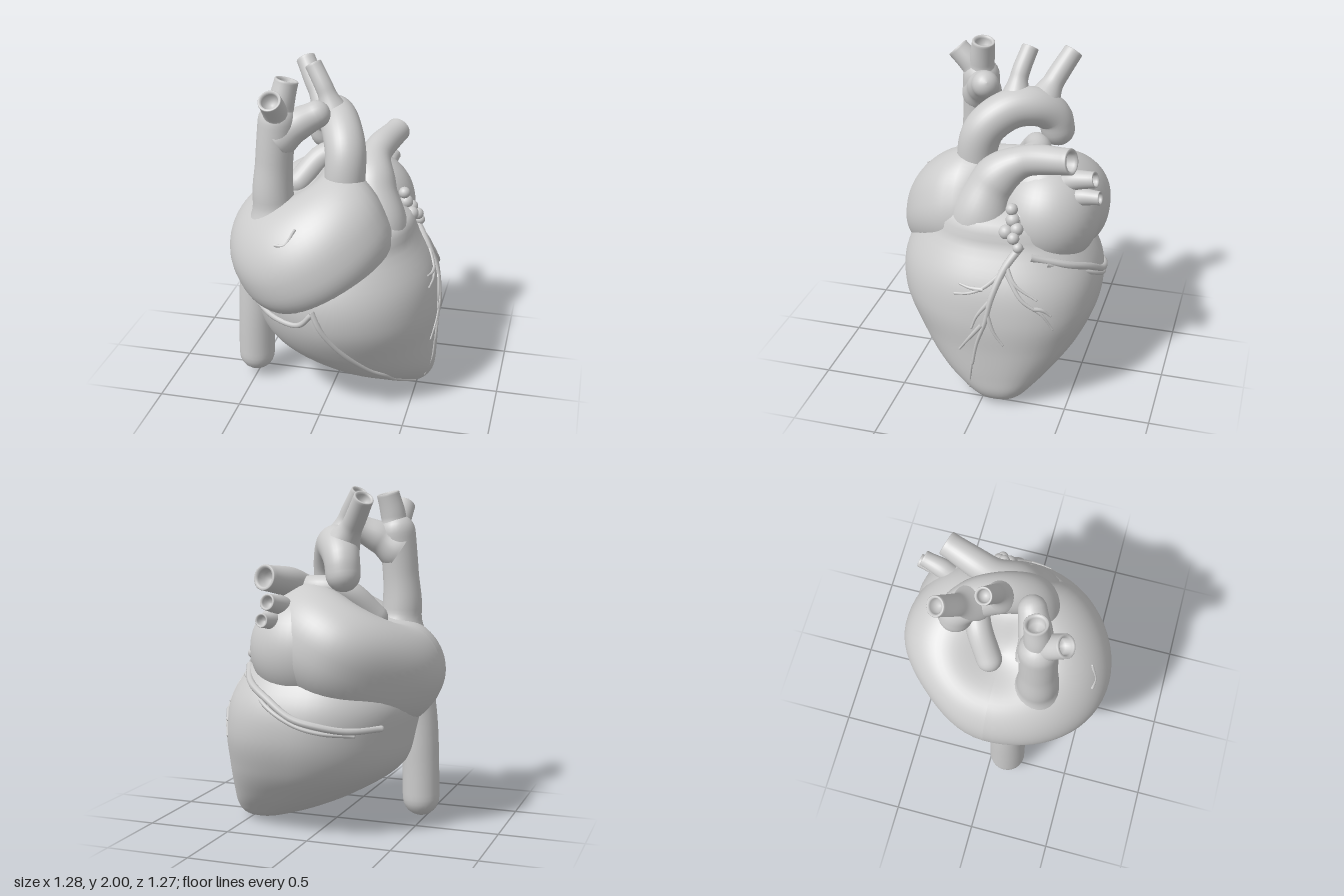
import * as THREE from 'three';

const mat = new THREE.MeshStandardMaterial({ color: 0xcccccc, roughness: 0.6 });
const V = (p) => new THREE.Vector3(...p);

// Smooth skin over a list of closed rings
function skin(rings) {
  const n = rings[0].length, idx = [];
  for (let i = 0; i < rings.length - 1; i++)
    for (let j = 0; j < n; j++) {
      const k = (j + 1) % n, a = i * n + j, b = i * n + k, c = a + n, d = b + n;
      idx.push(a, c, b, b, c, d);
    }
  const g = new THREE.BufferGeometry().setFromPoints(rings.flat());
  g.setIndex(idx);
  g.computeVertexNormals();
  return g;
}

// Tapered tube along a spline; end is 'open' (hollow mouth) or 'round'
function vessel(points, radii, end = 'open', sides = 24, steps = 28) {
  const curve = new THREE.CatmullRomCurve3(points.map(V));
  const { normals, binormals, tangents } = curve.computeFrenetFrames(steps, false);
  const ring = (i, r, push = 0) => Array.from({ length: sides }, (_, j) => {
    const a = j / sides * Math.PI * 2;
    return curve.getPointAt(i / steps).addScaledVector(tangents[i], push)
      .addScaledVector(normals[i], Math.cos(a) * r).addScaledVector(binormals[i], -Math.sin(a) * r);
  });
  const rings = [];
  for (let i = 0; i <= steps; i++) {
    const f = i / steps * (radii.length - 1), k = Math.min(Math.floor(f), radii.length - 2);
    rings.push(ring(i, THREE.MathUtils.lerp(radii[k], radii[k + 1], THREE.MathUtils.smoothstep(f - k, 0, 1))));
  }
  const r = radii[radii.length - 1];
  if (end === 'open') {
    for (const [s, p] of [[0.94, 0.06], [0.78, 0.04], [0.7, -0.15], [0.66, -0.8], [0.001, -0.9]])
      rings.push(ring(steps, r * s, r * p));
  } else {
    for (let k = 1; k <= 6; k++) {
      const a = k / 6 * Math.PI / 2;
      rings.push(ring(steps, r * Math.cos(a) + 1e-4, r * Math.sin(a)));
    }
  }
  return skin(rings);
}

// Ventricle sections: y, then x min, x max, z min, z max
const sections = [
  [0, 0.45, 0.45, -0.08, -0.08], [0.04, 0.24, 0.56, -0.23, 0.08], [0.1, 0.06, 0.595, -0.3, 0.18],
  [0.2, -0.16, 0.605, -0.4, 0.33], [0.38, -0.42, 0.61, -0.535, 0.49], [0.6, -0.5, 0.615, -0.61, 0.59],
  [0.8, -0.52, 0.575, -0.59, 0.58], [1.0, -0.4, 0.46, -0.46, 0.46], [1.15, -0.2, 0.37, -0.3, 0.3],
  [1.22, 0.08, 0.08, 0, 0],
];
const spline = new THREE.CubicInterpolant(
  sections.map((s) => Math.sqrt(s[0])), sections.flatMap((s) => s.slice(1)), 4);
function sectionAt(y) {
  const [x0, x1, z0, z1] = spline.evaluate(Math.sqrt(y));
  return { cx: (x0 + x1) / 2, cz: (z0 + z1) / 2, rx: Math.abs(x1 - x0) / 2, rz: Math.abs(z1 - z0) / 2 };
}
// Point on the ventricle wall from a direction; the left rear quarter is fuller
function wallPoint(y, c, s) {
  const { cx, cz, rx, rz } = sectionAt(y), m = c > 0 && s < 0 ? 1 + 0.36 * (c * s) ** 2 : 1;
  return [cx + rx * c * m, y, cz + rz * s * m];
}
const unit = (t) => THREE.MathUtils.clamp(t, -1, 1);
// Wall points located from the front (f = 1), the back (f = -1) or the +x side
const wall = (f) => ([x, y]) => {
  const { cx, rx } = sectionAt(y), c = unit((x - cx) / rx);
  return wallPoint(y, c, f * Math.sqrt(1 - c * c));
};
const side = ([z, y]) => {
  const { cz, rz } = sectionAt(y), s = unit((z - cz) / rz);
  return wallPoint(y, Math.sqrt(1 - s * s), s);
};

export function createModel() {
  const model = new THREE.Group();
  const add = (name, geo, parent = model) => {
    const m = new THREE.Mesh(geo, mat);
    m.name = name;
    parent.add(m);
    return m;
  };
  const group = (name) => {
    const g = new THREE.Group();
    g.name = name;
    model.add(g);
    return g;
  };

  // Ventricles
  const rings = [];
  for (let i = 0; i <= 48; i++)
    rings.push(Array.from({ length: 56 }, (_, j) => {
      const a = j / 56 * Math.PI * 2;
      return V(wallPoint((i / 48) ** 2 * 1.22, Math.cos(a), Math.sin(a)));
    }));
  add('ventricles', skin(rings));

  // Atria: a tilted cushion, hollowed on top, notched at the pulmonary trunk and drooping in front
  const atria = new THREE.SphereGeometry(1, 64, 48);
  const pos = atria.attributes.position, v = new THREE.Vector3();
  for (let i = 0; i < pos.count; i++) {
    v.fromBufferAttribute(pos, i);
    const flat = Math.hypot(v.x, v.z), turn = (Math.atan2(v.z, v.x) + 0.03) / 0.36;
    let k = 1 - 0.32 * flat * Math.exp(-turn * turn);
    if (v.x < 0 && v.z < 0) k -= 0.34 * (v.x * v.z) ** 2;
    const hollow = v.y > 0 ? 0.17 * Math.exp(-((flat / 0.42) ** 2)) : 0;
    v.set(v.x * 0.56 * k, Math.sign(v.y) * Math.abs(v.y) ** 0.85 * 0.4 - hollow, v.z * (v.z > 0 ? 0.637 : 0.61) * k);
    v.applyAxisAngle(new THREE.Vector3(0, 0, 1), 0.47);
    pos.setXYZ(i, v.x - 0.105, v.y + 1.035 - 0.06 * v.z - 0.25 * Math.max(v.z, 0) ** 2, v.z);
  }
  atria.computeVertexNormals();
  add('atria', atria);
  const left = add('leftAtrium', new THREE.SphereGeometry(1, 40, 28));
  left.scale.set(0.33, 0.32, 0.3);
  left.position.set(0.08, 1.08, -0.29);
  const auricle = add('auricleTip', new THREE.SphereGeometry(0.055, 20, 14));
  auricle.position.set(0.21, 1.22, 0.26);

  // Lower and upper great veins
  add('lowerVein', vessel([[-0.42, 0.95, 0.08], [-0.48, 0.72, 0.1], [-0.495, 0.4, 0.11], [-0.5, 0.15, 0.11]],
    [0.13, 0.105, 0.11, 0.11], 'round'));
  const upper = group('upperVein');
  add('upperVeinTrunk', vessel([[-0.3, 1.02, 0.23], [-0.33, 1.28, 0.245], [-0.32, 1.5, 0.24], [-0.3, 1.73, 0.23]],
    [0.22, 0.12, 0.108, 0.11], 'round'), upper);
  add('frontBranch', vessel([[-0.29, 1.68, 0.23], [-0.295, 1.79, 0.28], [-0.3, 1.89, 0.375]], [0.1, 0.07, 0.066]), upper);
  add('backBranch', vessel([[-0.29, 1.68, 0.22], [-0.28, 1.82, 0.22], [-0.25, 1.96, 0.2]], [0.1, 0.075, 0.068]), upper);
  add('sideBranch', vessel([[-0.31, 1.62, 0.23], [-0.2, 1.7, 0.19], [-0.095, 1.755, 0.145]], [0.12, 0.095, 0.08], 'round'), upper);

  // Aorta with its arch branches
  const aorta = group('aorta');
  add('aorticArch', vessel([[0.07, 1.05, 0.1], [0.07, 1.33, 0.15], [0.065, 1.54, 0.11], [0, 1.655, -0.03],
    [-0.07, 1.66, -0.17], [-0.125, 1.59, -0.26], [-0.14, 1.51, -0.28]], [0.15, 0.118, 0.118, 0.115, 0.1], 'round', 32, 48), aorta);
  add('middleArchBranch', vessel([[-0.03, 1.67, -0.05], [-0.09, 1.83, -0.06], [-0.175, 1.975, -0.1]], [0.1, 0.053, 0.05]), aorta);
  add('rearArchBranch', vessel([[-0.08, 1.64, -0.18], [-0.18, 1.78, -0.24], [-0.28, 1.94, -0.33]], [0.115, 0.062, 0.058]), aorta);

  // Pulmonary arteries and veins
  const pulmonary = group('pulmonaryVessels');
  add('pulmonaryTrunk', vessel([[0.2, 0.78, 0.08], [0.24, 1.1, 0.07], [0.2, 1.31, -0.01], [0.19, 1.43, -0.17], [0.27, 1.495, -0.45]],
    [0.26, 0.19, 0.14, 0.088, 0.075], 'open', 32, 40), pulmonary);
  add('crossingArtery', vessel([[0.17, 1.38, -0.12], [0.03, 1.42, -0.2], [-0.12, 1.4, -0.16], [-0.26, 1.25, -0.06]],
    [0.1, 0.075, 0.075, 0.075], 'round'), pulmonary);
  add('upperPulmonaryVein', vessel([[0.14, 1.23, -0.32], [0.17, 1.33, -0.43], [0.2, 1.37, -0.575]], [0.12, 0.06, 0.047]), pulmonary);
  add('lowerPulmonaryVein', vessel([[0.16, 1.17, -0.36], [0.2, 1.25, -0.48], [0.22, 1.27, -0.61]], [0.12, 0.053, 0.04]), pulmonary);

  // Bead-like lobes of the left auricle
  const lobes = group('auricleLobes');
  [[0.37, 1.21, -0.14, 0.035], [0.38, 1.15, -0.15, 0.042], [0.42, 1.09, -0.12, 0.042],
    [0.41, 1.11, -0.18, 0.038], [0.45, 1.07, -0.17, 0.035], [0.46, 1.02, -0.2, 0.03], [0.34, 1.14, -0.18, 0.05]]
    .forEach(([x, y, z, r]) => add('lobe', new THREE.SphereGeometry(r, 18, 12), lobes).position.set(x, y, z));

  // Coronary vessels lying on the ventricle wall
  const coronary = group('coronaryVessels');
  const trace = (name, path, place, r0, r1) =>
    add(name, vessel(path.map(place), [r0, r1], 'round', 8, 36), coronary);
  trace('frontCoronary', [[-0.02, 0.74], [0.03, 0.63], [0.15, 0.45], [0.28, 0.29], [0.36, 0.22], [0.4, 0.15], [0.5, 0.06]], wall(1), 0.018, 0.01);
  trace('rightCoronary', [[-0.46, 0.69], [-0.38, 0.64], [-0.25, 0.62], [-0.1, 0.635], [-0.02, 0.72]], wall(1), 0.02, 0.016);
  trace('rearCoronary', [[0.42, 0.96], [0.32, 0.89], [0.2, 0.82], [0.05, 0.73], [-0.1, 0.69], [-0.25, 0.66], [-0.4, 0.66]], wall(-1), 0.022, 0.02);
  trace('rearCoronaryVein', [[0.4, 0.92], [0.2, 0.78], [0.03, 0.69], [-0.12, 0.65], [-0.28, 0.63]], wall(-1), 0.014, 0.012);
  trace('sideCoronary', [[-0.2, 1.02], [-0.13, 0.9], [-0.08, 0.75], [-0.05, 0.6], [0, 0.45], [0.03, 0.3]], side, 0.024, 0.009);
  trace('sideCoronaryTip', [[0.03, 0.34], [0.045, 0.22], [0.06, 0.1]], side, 0.008, 0.006);
  [
    [[-0.12, 0.88], [-0.03, 0.8], [0.05, 0.76], [0.14, 0.74]],
    [[-0.03, 0.79], [0.05, 0.79], [0.11, 0.8]],
    [[-0.14, 0.92], [-0.2, 0.83], [-0.31, 0.75]],
    [[-0.15, 0.88], [-0.24, 0.75], [-0.34, 0.66], [-0.39, 0.56]],
    [[-0.3, 0.7], [-0.34, 0.69], [-0.38, 0.65]],
    [[-0.08, 0.74], [0, 0.63], [0.03, 0.55]],
    [[-0.03, 0.58], [0.05, 0.47], [0.11, 0.38]],
    [[-0.06, 0.65], [-0.1, 0.54], [-0.15, 0.46]],
  ].forEach((p) => trace('sideBranchlet', p, side, 0.014, 0.007));

  // Small surface vein on the front of the atria
  const onAtria = ([x, y]) => {
    let best = 9, z = 0;
    for (let i = 0; i < pos.count; i++) {
      const d = Math.hypot(pos.getX(i) - x, pos.getY(i) - y);
      if (pos.getZ(i) > 0.35 && d < best) { best = d; z = pos.getZ(i); }
    }
    return [x, y, z];
  };
  trace('atrialVein', [[-0.24, 1.11], [-0.18, 1.12], [-0.13, 1.2]], onAtria, 0.01, 0.008);
  return model;
}
